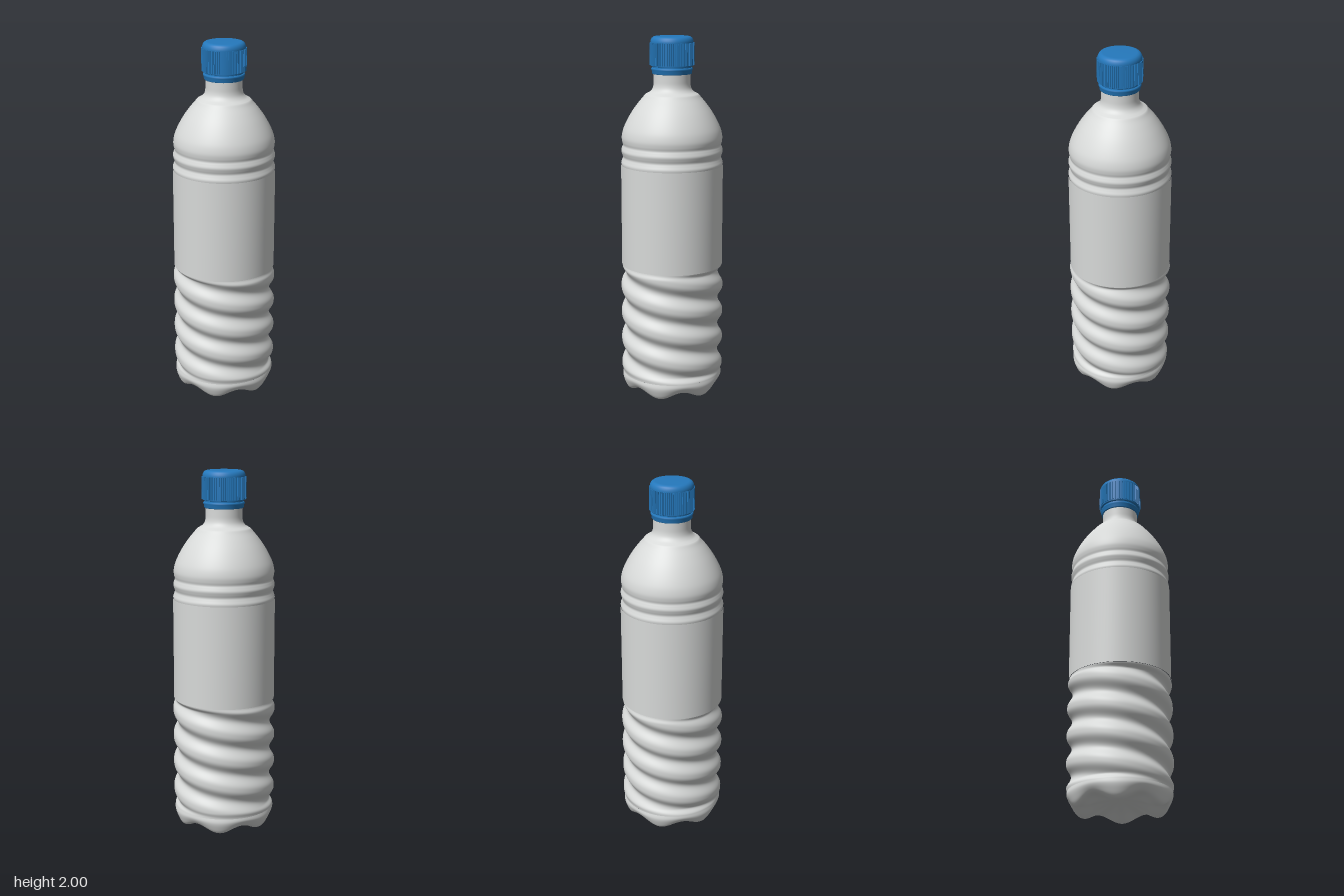
import * as THREE from 'three';

const body = new THREE.MeshStandardMaterial({ color: 0xd8dad9 });
body.name = 'pale grey plastic';
const blue = new THREE.MeshStandardMaterial({ color: 0x2579bd });
blue.name = 'blue cap plastic';

const lerp = THREE.MathUtils.lerp;
const smooth = THREE.MathUtils.smoothstep;

// Closed surface around the y axis; fn(t, a) gives [radius, height], t runs upwards
function sweep(rows, segs, fn) {
  const pos = [], idx = [];
  for (let i = 0; i <= rows; i++) {
    for (let j = 0; j < segs; j++) {
      const a = (j / segs) * Math.PI * 2;
      const [r, y] = fn(i / rows, a);
      pos.push(r * Math.sin(a), y, r * Math.cos(a));
      if (i === rows) continue;
      const p = i * segs + j, q = i * segs + (j + 1) % segs;
      idx.push(p, q, q + segs, p, q + segs, p + segs);
    }
  }
  const g = new THREE.BufferGeometry();
  g.setAttribute('position', new THREE.Float32BufferAttribute(pos, 3));
  g.setIndex(idx);
  g.computeVertexNormals();
  return g;
}

const points = (list) => list.map(([x, y]) => new THREE.Vector2(x, y));
const spline = (list) => new THREE.SplineCurve(points(list));

export function createModel() {
  const group = new THREE.Group();
  const add = (name, geometry, material) => {
    const m = new THREE.Mesh(geometry, material);
    m.name = name;
    group.add(m);
    return m;
  };

  // Base with six feet: blend between a foot profile and a gap profile
  const foot = spline([[0.001, 0.06], [0.07, 0.052], [0.14, 0.032], [0.2, 0.006],
    [0.232, 0], [0.258, 0.012], [0.275, 0.045], [0.283, 0.075], [0.279, 0.1]]);
  const gap = spline([[0.001, 0.06], [0.07, 0.058], [0.14, 0.05], [0.2, 0.042],
    [0.232, 0.04], [0.255, 0.046], [0.271, 0.063], [0.28, 0.082], [0.279, 0.1]]);
  add('footedBase', sweep(40, 144, (t, a) => {
    const w = 0.5 + 0.5 * Math.cos(6 * (a - 0.33));
    const f = foot.getPoint(t), g = gap.getPoint(t);
    return [lerp(g.x, f.x, w), lerp(g.y, f.y, w)];
  }), body);

  // Grip with two-start spiral grooves that fade out at both ends
  const pitch = 0.155;
  add('spiralGrip', sweep(140, 128, (t, a) => {
    const y = lerp(0.1, 0.735, t);
    const phase = (2 * Math.PI * (y - 0.64)) / pitch + 2 * a;
    const groove = Math.pow(0.5 + 0.5 * Math.cos(phase), 1.4);
    const fade = smooth(y, 0.1, 0.135) * (1 - smooth(y, 0.705, 0.735));
    return [lerp(0.279, 0.287 - 0.028 * groove, fade), y];
  }), body);

  // Straight label sleeve
  add('labelSleeve', new THREE.LatheGeometry(points([
    [0.277, 0.735], [0.282, 0.735], [0.282, 1.3], [0.277, 1.3]]), 96), body);
  group.getObjectByName('labelSleeve').geometry = sweep(1, 96, (t) => [0.282, lerp(0.735, 1.3, t)]);

  // Ribbed upper body, shoulder and neck
  const upper = spline([[0.279, 1.295], [0.281, 1.312], [0.275, 1.33], [0.271, 1.345],
    [0.276, 1.362], [0.28, 1.38], [0.275, 1.398], [0.271, 1.412], [0.275, 1.43],
    [0.277, 1.455], [0.271, 1.488], [0.259, 1.52], [0.24, 1.558], [0.216, 1.598],
    [0.187, 1.638], [0.16, 1.67], [0.147, 1.686], [0.137, 1.692], [0.12, 1.702],
    [0.107, 1.718], [0.101, 1.74], [0.1, 1.77], [0.1, 1.81]]);
  add('shoulderAndNeck', sweep(110, 96, (t) => {
    const p = upper.getPoint(t);
    return [p.x, p.y];
  }), body);

  // Tamper ring under the cap
  add('tamperRing', new THREE.LatheGeometry(points([
    [0.095, 1.798], [0.105, 1.798], [0.108, 1.801], [0.109, 1.815], [0.113, 1.821],
    [0.113, 1.828], [0.109, 1.832], [0.095, 1.832]]), 72), blue);
  add('capGap', new THREE.CylinderGeometry(0.105, 0.105, 0.02, 72, 1, true), blue).position.y = 1.837;

  // Cap with a rounded crown
  add('cap', new THREE.LatheGeometry(points([
    [0.095, 1.84], [0.113, 1.84], [0.117, 1.844], [0.117, 1.968], [0.115, 1.98],
    [0.11, 1.99], [0.102, 1.997], [0.09, 2], [0.0001, 2]]), 72), blue);

  // Fine grip ribs around the cap
  const ribs = 72, outline = [];
  for (let i = 0; i < ribs; i++) {
    [[0, 0.1165], [0.4, 0.1165], [0.5, 0.121], [0.9, 0.121]].forEach(([k, r]) => {
      const a = ((i + k) / ribs) * Math.PI * 2;
      outline.push(new THREE.Vector2(r * Math.cos(a), r * Math.sin(a)));
    });
  }
  const ribGeometry = new THREE.ExtrudeGeometry(new THREE.Shape(outline), { depth: 0.12, bevelEnabled: false });
  ribGeometry.rotateX(-Math.PI / 2);
  add('capRibs', ribGeometry, blue).position.y = 1.846;

  return group;
}
